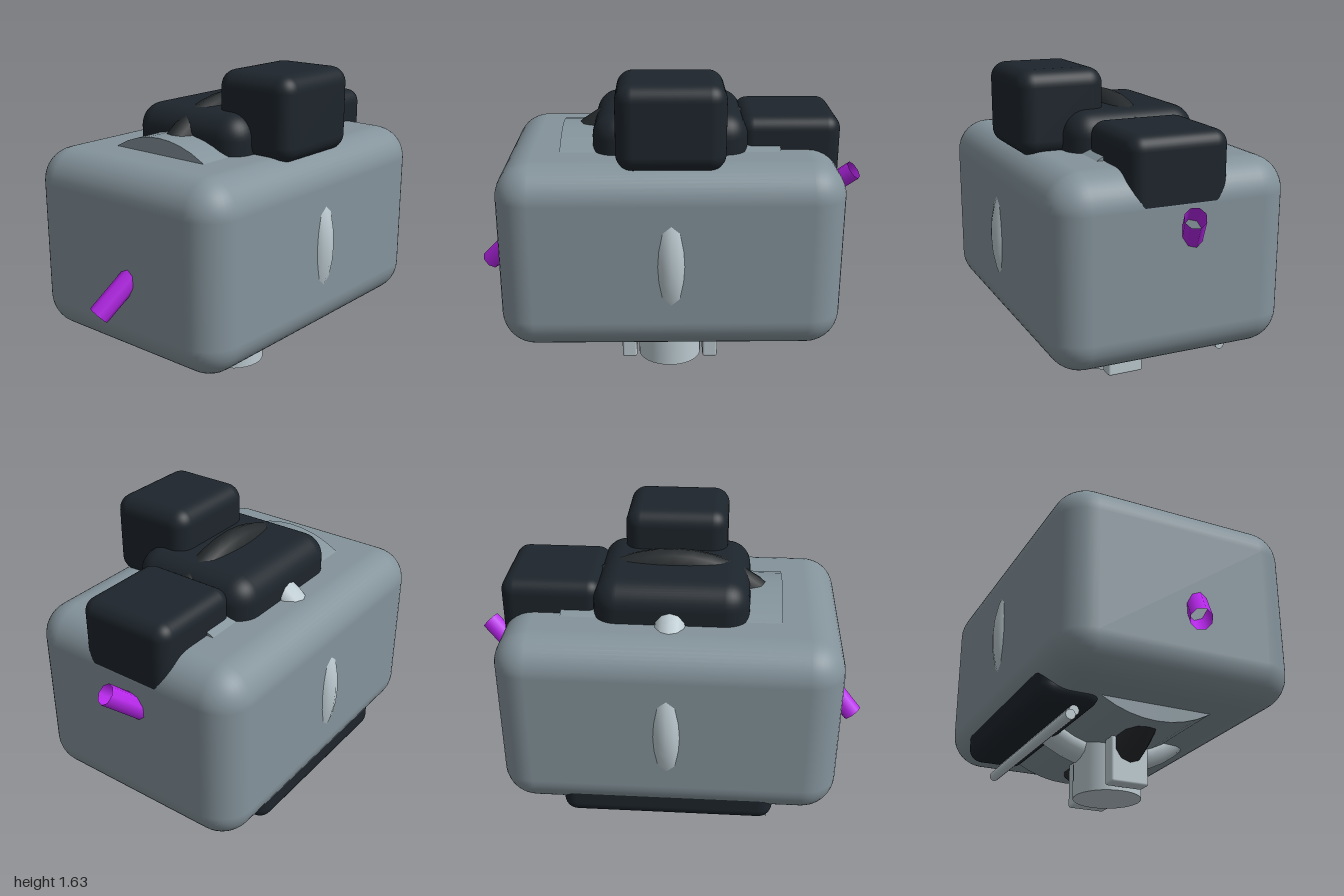
import * as THREE from 'three';
import { RoundedBoxGeometry } from 'three/addons/geometries/RoundedBoxGeometry.js';

const mat = (color, extra = {}) => new THREE.MeshStandardMaterial({ color, ...extra });

export function createModel() {
  const model = new THREE.Group();
  model.name = 'model';
  const shell = mat(0x84939b);
  const light = mat(0xbccad0);
  const dark = mat(0x1d252c);
  const ringDark = mat(0x262a2c);
  const purple = mat(0xb826ec, { side: THREE.DoubleSide });

  const add = (name, geometry, material, x = 0, y = 0, z = 0) => {
    const mesh = new THREE.Mesh(geometry, material);
    mesh.name = name;
    mesh.position.set(x, y, z);
    model.add(mesh);
    return mesh;
  };

  // Rounded box given by its limits on each axis
  const block = (name, [x0, x1], [y0, y1], [z0, z1], radius, material) =>
    add(name, new RoundedBoxGeometry(x1 - x0, y1 - y0, z1 - z0, 5, radius), material,
      (x0 + x1) / 2, (y0 + y1) / 2, (z0 + z1) / 2);

  // Cylinder running between two points
  const rod = (name, a, b, radius, sides, material, open = false) => {
    const from = new THREE.Vector3(...a), to = new THREE.Vector3(...b);
    const dir = to.clone().sub(from);
    const geometry = new THREE.CylinderGeometry(radius, radius, dir.length(), sides, 1, open);
    const mesh = add(name, geometry, material);
    mesh.position.copy(from).add(to).multiplyScalar(0.5);
    mesh.quaternion.setFromUnitVectors(new THREE.Vector3(0, 1, 0), dir.normalize());
    return mesh;
  };

  const midY = 0.78;

  // Body with the drum lying through it
  block('body', [-0.84, 0.84], [0.31, 1.25], [-0.6, 0.6], 0.17, shell);
  rod('drum', [-0.54, midY, 0], [0.54, midY, 0], 0.55, 48, shell);

  // Two crossed rings around the drum
  const lengthRing = add('lengthwiseRing', new THREE.TorusGeometry(0.555, 0.08, 12, 48), light, 0, midY, 0);
  lengthRing.rotation.y = Math.PI / 2;
  add('crosswiseRing', new THREE.TorusGeometry(0.635, 0.08, 10, 48), ringDark, 0, midY, 0);

  // Dark blocks on top
  block('topBlock', [-0.38, 0.38], [0.95, 1.44], [-0.34, 0.34], 0.12, dark);
  block('frontBlock', [-0.26, 0.26], [1.22, 1.635], [0.11, 0.55], 0.08, dark);
  block('leftBlock', [0.34, 0.839], [0.98, 1.41], [-0.25, 0.25], 0.07, dark);

  // Dark block and bars under the back
  block('rearBlock', [-0.53, 0.53], [0.26, 0.56], [-0.575, -0.27], 0.07, dark);
  rod('lowerBar', [-0.51, 0.205, -0.42], [0.51, 0.205, -0.42], 0.025, 10, light);
  rod('upperBar', [-0.48, 0.24, -0.39], [0.48, 0.24, -0.39], 0.025, 10, light);

  // Foot post with a plate on either side
  rod('footPost', [0, 0, 0], [0, 0.5, 0], 0.17, 32, light);
  for (const side of [1, -1]) {
    const plate = add(side > 0 ? 'leftFootPlate' : 'rightFootPlate',
      new RoundedBoxGeometry(0.08, 0.23, 0.2, 2, 0.012), light, side * 0.22, 0.125, 0);
    plate.scale.z = 0.98;
  }

  // Open tubes leaving the sides
  rod('leftTube', [0.72, 0.84, -0.11], [0.965, 1.06, 0], 0.052, 8, purple, true);
  rod('rightTube', [-0.72, 0.825, 0.11], [-0.962, 0.56, 0], 0.052, 8, purple, true);

  return model;
}
